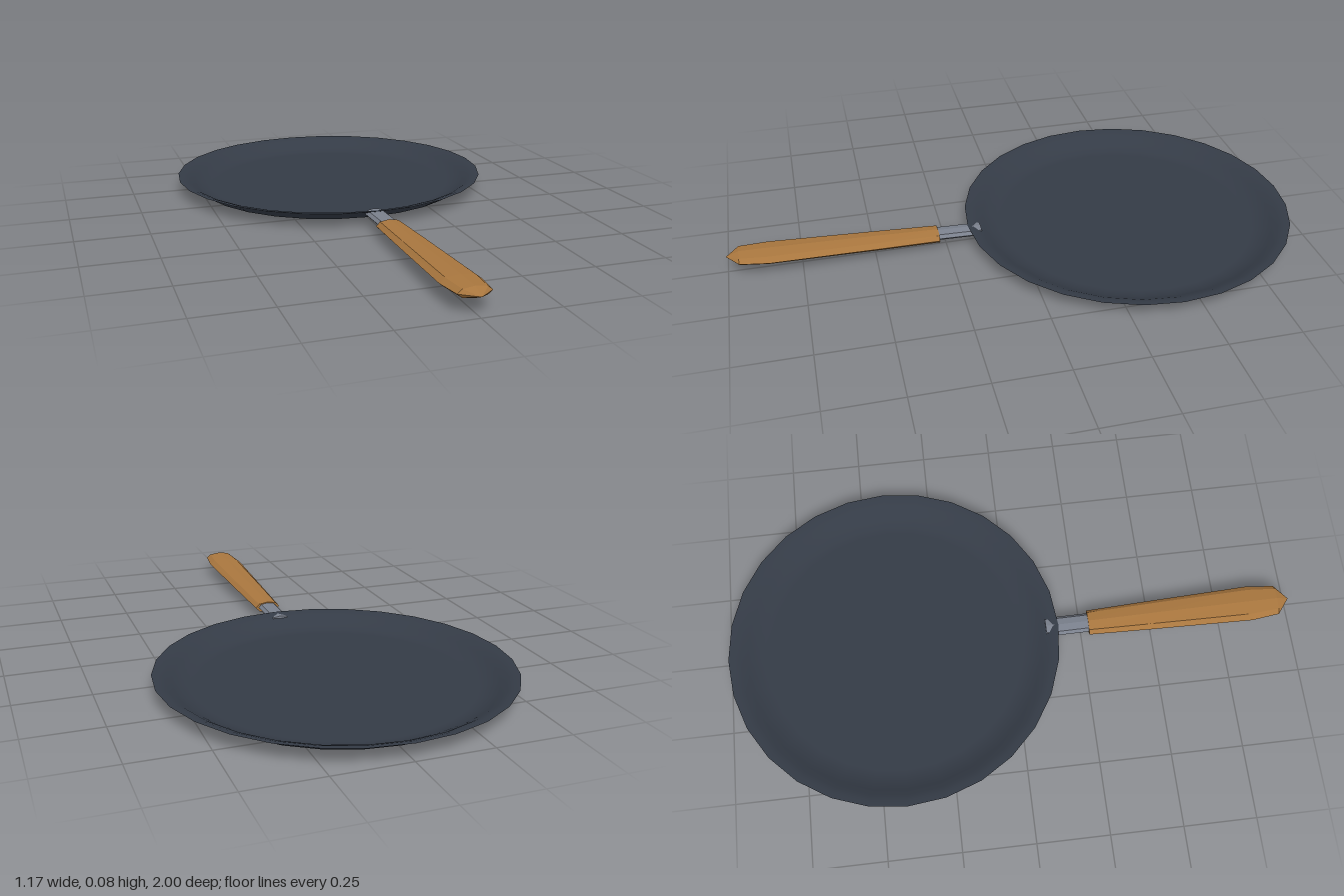
import * as THREE from 'three';

const SIDES = 8;

// Faceted elliptical loft along z; each ring is [z, centreY, radiusX, radiusY].
// A ring with zero radii closes the end.
function loft(rings) {
  const positions = [];
  const index = [];
  for (const [z, cy, rx, ry] of rings) {
    for (let j = 0; j < SIDES; j++) {
      const a = (j / SIDES) * Math.PI * 2;
      positions.push(rx * Math.cos(a), cy + ry * Math.sin(a), z);
    }
  }
  for (let i = 0; i < rings.length - 1; i++) {
    for (let j = 0; j < SIDES; j++) {
      const k = (j + 1) % SIDES;
      const a = i * SIDES + j, b = i * SIDES + k;
      const c = b + SIDES, d = a + SIDES;
      if (rings[i][2] > 0) index.push(a, b, d);
      if (rings[i + 1][2] > 0) index.push(b, c, d);
      else if (rings[i][2] === 0) continue;
    }
  }
  const indexed = new THREE.BufferGeometry();
  indexed.setAttribute('position', new THREE.Float32BufferAttribute(positions, 3));
  indexed.setIndex(index);
  const geometry = indexed.toNonIndexed();
  geometry.computeVertexNormals();
  return geometry;
}

function lathe(profile) {
  return new THREE.LatheGeometry(profile.map(([r, y]) => new THREE.Vector2(r, y)), 28);
}

export function createModel() {
  const iron = new THREE.MeshStandardMaterial({ color: 0x343b46 });
  iron.name = 'dark iron';
  const steel = new THREE.MeshStandardMaterial({ color: 0x7a808c });
  steel.name = 'grey steel';
  const wood = new THREE.MeshStandardMaterial({ color: 0xa8763e });
  wood.name = 'brown wood';

  const model = new THREE.Group();
  model.name = 'fryingPan';
  const add = (name, geometry, material, parent = model) => {
    const mesh = new THREE.Mesh(geometry, material);
    mesh.name = name;
    parent.add(mesh);
  };

  // Shallow round pan: outer shell and cooking surface meet in a sharp rim
  const pan = new THREE.Group();
  pan.name = 'pan';
  pan.position.z = -0.415;
  model.add(pan);
  add('panOutside', lathe([
    [0, 0], [0.45, 0], [0.475, 0.002], [0.503, 0.011], [0.53, 0.027],
    [0.553, 0.042], [0.57, 0.049], [0.585, 0.055],
  ]), iron, pan);
  add('panInside', lathe([
    [0.585, 0.055], [0.565, 0.053], [0.545, 0.046], [0.523, 0.033],
    [0.497, 0.019], [0.47, 0.012], [0.45, 0.01], [0, 0.01],
  ]), iron, pan);

  // Metal neck reaching through the pan wall into the grip
  add('handleNeck', loft([
    [0.125, 0.038, 0, 0], [0.125, 0.038, 0.035, 0.015],
    [0.3, 0.042, 0.035, 0.015], [0.3, 0.042, 0, 0],
  ]), steel);

  // Wooden grip, rising and widening towards a pointed end
  add('handleGrip', loft([
    [0.277, 0.04, 0, 0], [0.277, 0.04, 0.046, 0.02],
    [0.5, 0.046, 0.054, 0.021], [0.86, 0.056, 0.065, 0.021],
    [0.957, 0.06, 0.054, 0.018], [1, 0.061, 0, 0],
  ]), wood);

  return model;
}
